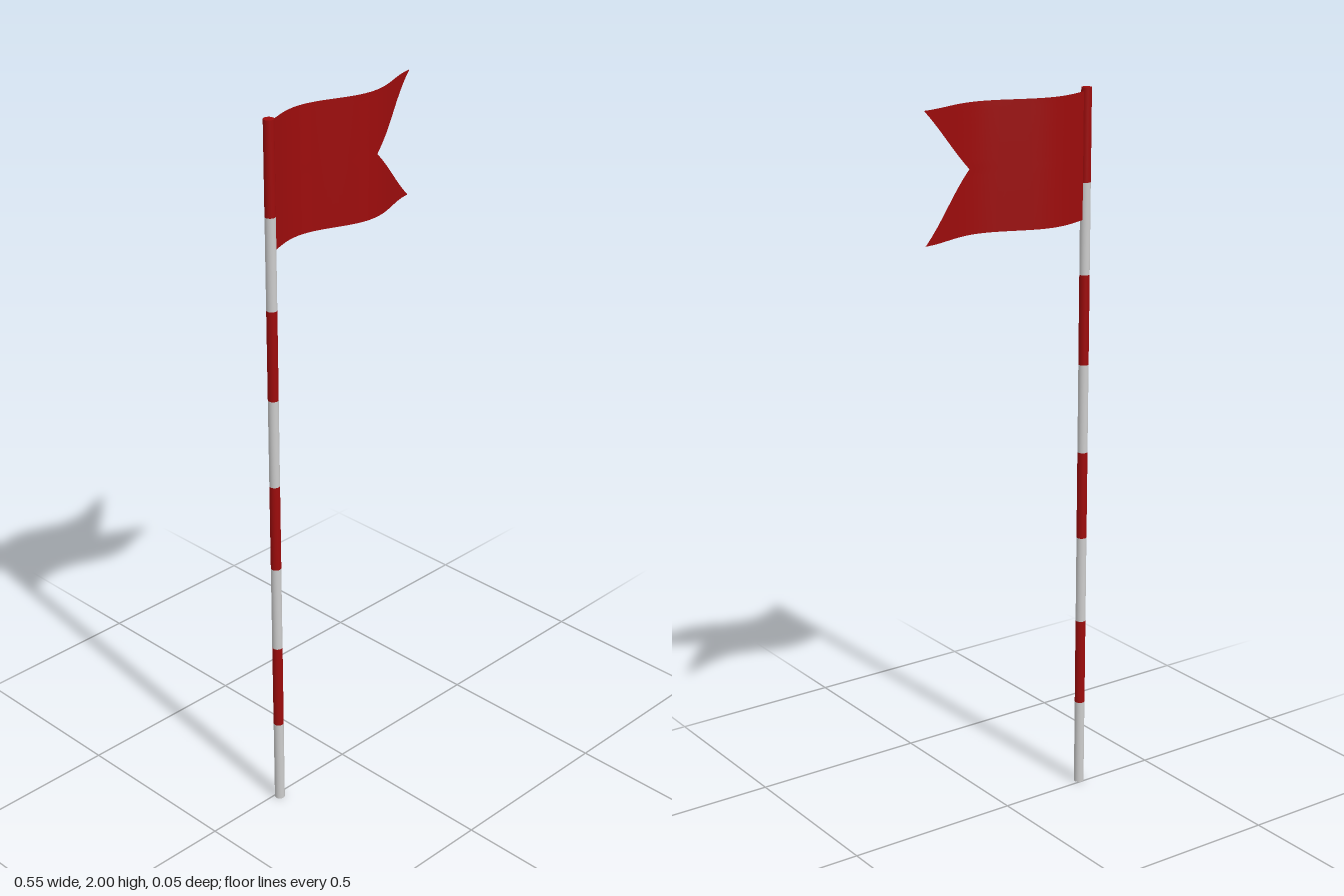
import * as THREE from 'three';

const POLE_X = -0.263, POLE_Z = 0.012, RADIUS = 0.014;
const BANDS = 8, BAND_HEIGHT = 2 / BANDS;

export function createModel() {
  const model = new THREE.Group();
  model.name = 'flagOnPole';

  const grey = new THREE.MeshStandardMaterial({ color: 0xcccccc });
  const red = new THREE.MeshStandardMaterial({ color: 0x9c0c0c });
  const cloth = new THREE.MeshStandardMaterial({ color: 0x9c0c0c, side: THREE.DoubleSide });

  // Pole: stacked bands, grey at the foot and red at the tip
  const pole = new THREE.Group();
  pole.name = 'pole';
  pole.position.set(POLE_X, 0, POLE_Z);
  const bandGeometry = new THREE.CylinderGeometry(RADIUS, RADIUS, BAND_HEIGHT, 32);
  for (let i = 0; i < BANDS; i++) {
    const band = new THREE.Mesh(bandGeometry, i % 2 ? red : grey);
    band.name = i % 2 ? 'redBand' : 'greyBand';
    band.position.y = (i + 0.5) * BAND_HEIGHT;
    pole.add(band);
  }
  model.add(pole);

  // Flag: a thin sheet with a swallowtail end, waving along its length
  const bottom = 1.65, top = 1.99, notchX = 0.1, tipX = 0.27;
  const geometry = new THREE.PlaneGeometry(1, 2, 40, 16);
  const p = geometry.attributes.position;
  for (let i = 0; i < p.count; i++) {
    const u = p.getX(i) + 0.5, v = p.getY(i);
    const endX = THREE.MathUtils.lerp(notchX, tipX, Math.abs(v));
    const x = THREE.MathUtils.lerp(POLE_X, endX, u);
    const y = THREE.MathUtils.lerp(bottom, top, (v + 1) / 2);
    p.setXYZ(i, x, y, -0.027 * Math.sin(15 * (x - 0.185)));
  }
  geometry.computeVertexNormals();
  const flag = new THREE.Mesh(geometry, cloth);
  flag.name = 'flag';
  model.add(flag);

  return model;
}
